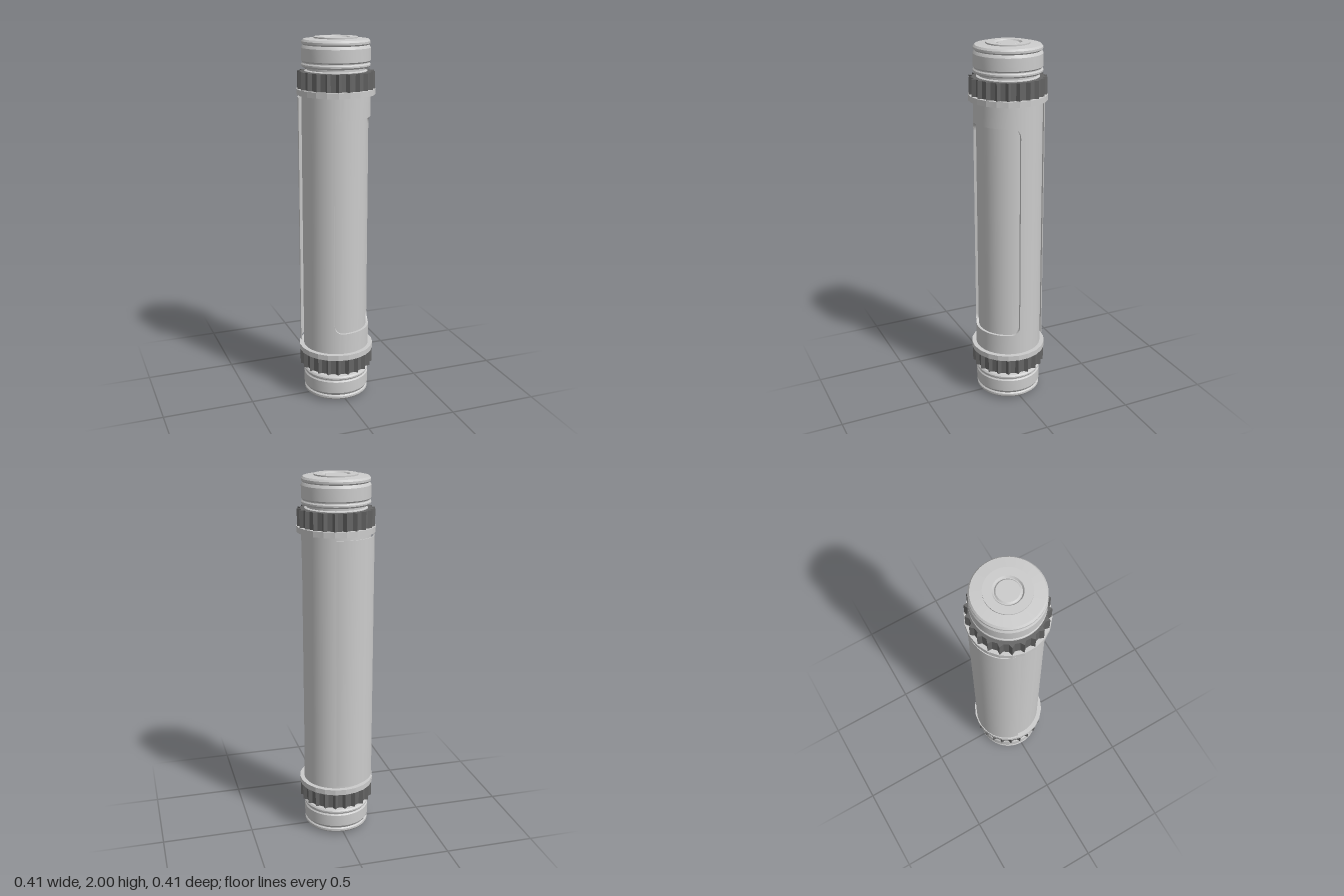
import * as THREE from 'three';
import { toCreasedNormals } from 'three/addons/utils/BufferGeometryUtils.js';

const grey = new THREE.MeshStandardMaterial({ color: 0xcccccc });
const dark = new THREE.MeshStandardMaterial({ color: 0x666666 });

function add(parent, name, geometry, material = grey) {
  const mesh = new THREE.Mesh(geometry, material);
  mesh.name = name;
  parent.add(mesh);
  return mesh;
}

const lathe = (profile, sides = 44) =>
  toCreasedNormals(new THREE.LatheGeometry(profile.map(([r, y]) => new THREE.Vector2(r, y)), sides), 0.45);

// Closed curved wall swept around y; angles start at +z and turn towards +x
function arcWall(centre, half, steps, rIn, rOut, low, high) {
  const pos = [], index = [];
  for (let i = 0; i <= steps; i++) {
    const off = -half * Math.cos(Math.PI * i / steps); // denser near the ends
    const s = Math.sin(centre + off), c = Math.cos(centre + off);
    const a = low(off), b = high(off);
    for (const [r, y] of [[rIn, a], [rOut, a], [rOut, b], [rIn, b]]) pos.push(r * s, y, r * c);
  }
  for (let i = 0; i < steps; i++) {
    for (let k = 0; k < 4; k++) {
      const p = i * 4 + k, q = i * 4 + (k + 1) % 4;
      index.push(p, p + 4, q + 4, p, q + 4, q);
    }
  }
  const e = steps * 4;
  index.push(0, 1, 2, 0, 2, 3, e, e + 2, e + 1, e, e + 3, e + 2);
  const g = new THREE.BufferGeometry();
  g.setAttribute('position', new THREE.Float32BufferAttribute(pos, 3));
  g.setIndex(index);
  return toCreasedNormals(g, 0.45);
}

export function createModel() {
  const model = new THREE.Group();
  const rOut = 0.182, rIn = 0.168, yLow = 0.29, yHigh = 1.71;
  const facing = THREE.MathUtils.degToRad(32);
  const half = THREE.MathUtils.degToRad(54.5);

  // Inner tube, seen through the window
  const core = add(model, 'innerTube', new THREE.CylinderGeometry(rIn, rIn, yHigh - yLow, 44, 1, true));
  core.position.y = 1;

  // Outer shell with a round-cornered window
  const shell = new THREE.Group();
  shell.name = 'outerShell';
  model.add(shell);
  const corner = 0.05, winHalf = 0.59;
  const edge = (off) => {
    const d = Math.max(0, corner - (half - Math.abs(off)) * rOut);
    return winHalf - corner + Math.sqrt(Math.max(0, corner * corner - d * d));
  };
  add(shell, 'shellWall', arcWall(facing + Math.PI, Math.PI - half, 44, rIn - 0.002, rOut, () => yLow, () => yHigh));
  add(shell, 'shellAboveWindow', arcWall(facing, half, 36, rIn - 0.002, rOut, (o) => 1 + edge(o), () => yHigh));
  add(shell, 'shellBelowWindow', arcWall(facing, half, 36, rIn - 0.002, rOut, () => yLow, (o) => 1 - edge(o)));

  // Thin cover panel standing just off the back
  const panel = add(model, 'backPanel', arcWall(facing + Math.PI, THREE.MathUtils.degToRad(52), 28,
    0.177, 0.182, () => 0.315, () => 1.69));
  panel.position.set(-0.025 * Math.sin(facing), 0, -0.025 * Math.cos(facing));

  // Toothed grip outline
  const teeth = 22, grip = new THREE.Shape();
  for (let i = 0; i < teeth; i++) {
    for (const [r, da] of [[0.186, -0.075], [0.204, 0], [0.186, 0.075]]) {
      const a = Math.PI / 2 + i * 2 * Math.PI / teeth + da;
      const x = r * Math.cos(a), y = r * Math.sin(a);
      if (i === 0 && da < 0) grip.moveTo(x, y); else grip.lineTo(x, y);
    }
  }
  grip.closePath();

  // End cap from the neck up to the recessed button
  const capProfile = [
    [0.165, 1.81], [0.165, 1.828], [0.153, 1.832], [0.153, 1.843],
    [0.174, 1.846], [0.181, 1.854], [0.181, 1.862], [0.175, 1.869], [0.175, 1.873],
    [0.181, 1.88], [0.181, 1.945], [0.175, 1.956], [0.172, 1.96],
    [0.179, 1.967], [0.179, 1.978], [0.171, 1.988], [0.115, 1.993],
    [0.115, 2], [0.073, 2], [0.066, 1.99], [0.062, 1.99], [0.055, 1.997], [0, 1.997],
  ];

  // The same fittings close both ends
  for (const end of ['top', 'bottom']) {
    const fitting = new THREE.Group();
    fitting.name = end + 'Fitting';
    const flange = add(fitting, 'flange', new THREE.CylinderGeometry(0.2075, 0.2075, 0.03, teeth));
    flange.geometry = toCreasedNormals(flange.geometry, 0.2);
    flange.position.y = 1.72;
    const ring = add(fitting, 'gripRing', new THREE.ExtrudeGeometry(grip, { depth: 0.09, bevelEnabled: false }), dark);
    ring.rotation.x = -Math.PI / 2;
    ring.position.y = 1.735;
    add(fitting, 'endCap', lathe(capProfile));
    if (end === 'bottom') {
      fitting.rotation.x = Math.PI;
      fitting.position.y = 2;
    }
    model.add(fitting);
  }
  return model;
}
